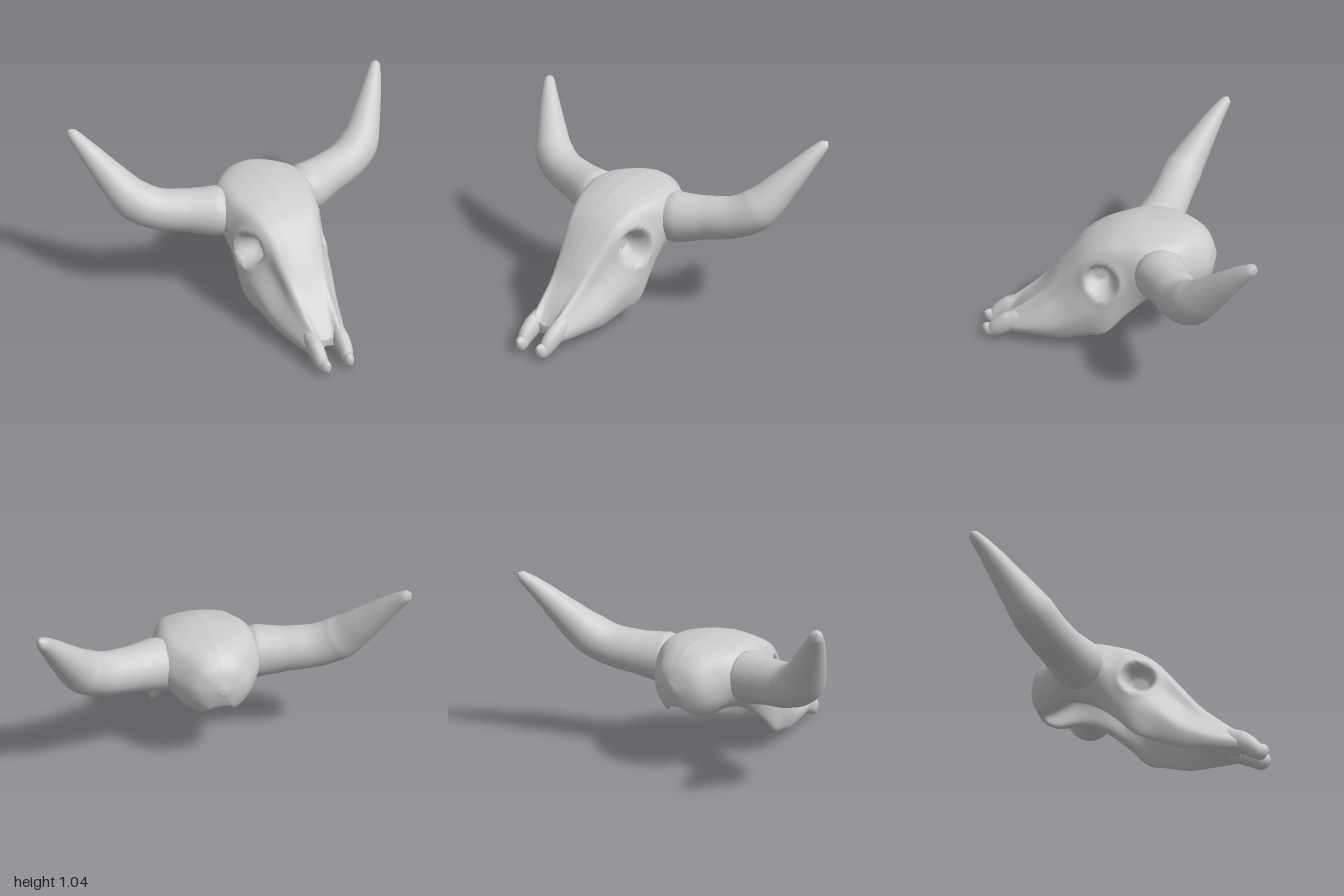
import * as THREE from 'three';
import { mergeVertices } from 'three/addons/utils/BufferGeometryUtils.js';

const material = new THREE.MeshStandardMaterial({ color: 0xcccccc, side: THREE.DoubleSide });

function smooth(geometry) {
  geometry.deleteAttribute('uv');
  geometry.deleteAttribute('normal');
  const merged = mergeVertices(geometry, 1e-4);
  merged.computeVertexNormals();
  return merged;
}

// Tube whose radius follows the given points: [x, y, z, radius]
function taperedTube(points, segments, sides, stretchY = 1) {
  const curve = new THREE.CatmullRomCurve3(
    points.map(([x, y, z]) => new THREE.Vector3(x, y / stretchY, z)), false, 'catmullrom');
  const geometry = new THREE.TubeGeometry(curve, segments, 1, sides);
  const pos = geometry.attributes.position;
  const v = new THREE.Vector3();
  for (let i = 0; i <= segments; i++) {
    const u = i / segments;
    const centre = curve.getPointAt(u);
    const t = curve.getUtoTmapping(u) * (points.length - 1);
    const k = Math.min(Math.floor(t), points.length - 2);
    const r = THREE.MathUtils.lerp(points[k][3], points[k + 1][3], t - k);
    for (let j = 0; j <= sides; j++) {
      const n = i * (sides + 1) + j;
      v.fromBufferAttribute(pos, n).sub(centre).multiplyScalar(r).add(centre);
      pos.setXYZ(n, v.x, v.y, v.z);
    }
  }
  geometry.scale(1, stretchY, 1);
  return smooth(geometry);
}

// Skull stations, front to back:
// z, crown y, brow x/y, temple x/y, cheek x/y, lower rim x/y, inner roof y
const stations = [
  [0.58, 0.125, 0.07, 0.18, 0.10, 0.15, 0.122, 0.105, 0.11, 0.068, 0.095],
  [0.50, 0.215, 0.085, 0.235, 0.115, 0.19, 0.148, 0.11, 0.13, 0.065, 0.16],
  [0.39, 0.325, 0.10, 0.32, 0.13, 0.25, 0.18, 0.13, 0.155, 0.065, 0.25],
  [0.28, 0.47, 0.125, 0.43, 0.145, 0.32, 0.21, 0.17, 0.175, 0.065, 0.36],
  [0.15, 0.615, 0.155, 0.58, 0.185, 0.43, 0.245, 0.25, 0.205, 0.10, 0.48],
  [0.03, 0.69, 0.19, 0.65, 0.245, 0.48, 0.27, 0.29, 0.24, 0.14, 0.55],
  [-0.08, 0.73, 0.225, 0.67, 0.27, 0.53, 0.27, 0.37, 0.23, 0.245, 0.58],
  [-0.20, 0.745, 0.24, 0.695, 0.305, 0.56, 0.265, 0.42, 0.20, 0.335, 0.59],
  [-0.35, 0.742, 0.23, 0.69, 0.30, 0.57, 0.245, 0.44, 0.18, 0.38, 0.57],
  [-0.48, 0.715, 0.155, 0.66, 0.21, 0.55, 0.195, 0.44, 0.12, 0.355, 0.47],
  [-0.565, 0.64, 0.095, 0.61, 0.135, 0.53, 0.12, 0.46, 0.07, 0.40, 0.41],
  [-0.605, 0.54, 0.01, 0.535, 0.015, 0.525, 0.015, 0.515, 0.01, 0.51, 0.505],
];

// Station value c at row position s, eased between the listed stations
function stationValue(c, s) {
  const k = Math.min(Math.floor(s), stations.length - 2), f = s - k;
  const g = (n) => stations[THREE.MathUtils.clamp(n, 0, stations.length - 1)][c];
  const m0 = (g(k + 1) - g(k - 1)) / 2, m1 = (g(k + 2) - g(k)) / 2;
  return (2 * f ** 3 - 3 * f * f + 1) * g(k) + (f ** 3 - 2 * f * f + f) * m0
    + (3 * f * f - 2 * f ** 3) * g(k + 1) + (f ** 3 - f * f) * m1;
}

// Half outline of one station, crown to lower rim and back up the hollow inside
function halfOutline([z, top, bx, by, tx, ty, cx, cy, rx, ry, roof]) {
  return new THREE.CatmullRomCurve3([
    [0, top], [bx * 0.6, THREE.MathUtils.lerp(by, top, 0.7)], [bx, by],
    [tx, ty], [cx, cy], [rx, ry],
    [rx * 0.85, ry + (roof - ry) * 0.08],
    [Math.min(rx * 0.7, Math.max(tx - 0.115, 0.005)), ry + (roof - ry) * 0.75], [0, roof],
  ].map(([x, y]) => new THREE.Vector3(x, y, z)));
}

// Presses an eye socket with a slight rim into the outer side wall
function pressSocket(p) {
  const d = Math.hypot(p.z - 0.05, p.y - 0.475);
  const depth = 1 - THREE.MathUtils.smoothstep(d, 0.05, 0.10);
  const rim = Math.exp(-(((d - 0.108) / 0.025) ** 2));
  if (p.x > 0.1) p.x += 0.006 * rim + (0.14 - p.x) * depth;
}

function skullGeometry() {
  const rows = 110, half = 64, ring = half * 2;
  const positions = [], index = [];
  for (let i = 0; i <= rows; i++) {
    const s = (i / rows) * (stations.length - 1);
    const curve = halfOutline(stations[0].map((_, c) => stationValue(c, s)));
    const side = [];
    for (let j = 0; j <= half; j++) {
      const p = curve.getPoint(j / half);
      if (j < half * 0.6) pressSocket(p);
      side.push(p);
    }
    for (let j = 0; j < ring; j++) {
      const p = side[j <= half ? j : ring - j];
      positions.push(j <= half ? p.x : -p.x, p.y, p.z);
    }
  }
  for (let i = 0; i < rows; i++) {
    for (let j = 0; j < ring; j++) {
      const a = i * ring + j, b = i * ring + (j + 1) % ring;
      index.push(a, b, a + ring, b, b + ring, a + ring);
    }
  }
  // Front and back closures, joining each outer point to the inner one facing it
  for (const [row, flip] of [[0, false], [rows, true]]) {
    const o = row * ring;
    for (const m of [0, half]) {
      for (let j = 0; j < half / 2; j++) {
        const a = o + m + j, b = a + 1;
        const d = o + (m + half - j) % ring, c = o + m + half - j - 1;
        if (flip) index.push(a, b, d, b, c, d);
        else index.push(a, d, b, b, d, c);
      }
    }
  }
  const geometry = new THREE.BufferGeometry();
  geometry.setAttribute('position', new THREE.Float32BufferAttribute(positions, 3));
  geometry.setIndex(index);
  geometry.computeVertexNormals();
  return geometry;
}

export function createModel() {
  const group = new THREE.Group();
  const add = (name, geometry) => {
    const mesh = new THREE.Mesh(geometry, material);
    mesh.name = name;
    group.add(mesh);
  };

  add('skull', skullGeometry());

  for (const [side, s] of [['left', 1], ['right', -1]]) {
    // Horn sweeping out, then up and back
    add(`${side}Horn`, taperedTube([
      [0.22 * s, 0.56, -0.27, 0.13], [0.29 * s, 0.56, -0.282, 0.148],
      [0.44 * s, 0.577, -0.33, 0.126], [0.60 * s, 0.603, -0.38, 0.12],
      [0.72 * s, 0.667, -0.435, 0.12], [0.815 * s, 0.79, -0.525, 0.09],
      [0.915 * s, 0.94, -0.635, 0.054], [0.976 * s, 1.03, -0.712, 0.026],
      [0.985 * s, 1.04, -0.72, 0.001],
    ], 48, 20));

    // Forked tip of the upper jaw, pinched and turned up at the end
    add(`${side}SnoutTip`, taperedTube([
      [0.088 * s, 0.165, 0.46, 0.03], [0.083 * s, 0.13, 0.54, 0.043],
      [0.081 * s, 0.108, 0.60, 0.045], [0.08 * s, 0.08, 0.65, 0.04],
      [0.074 * s, 0.052, 0.69, 0.032], [0.07 * s, 0.06, 0.715, 0.028],
      [0.066 * s, 0.08, 0.735, 0.014], [0.066 * s, 0.082, 0.738, 0.001],
    ], 32, 14, 1.5));
  }
  return group;
}
